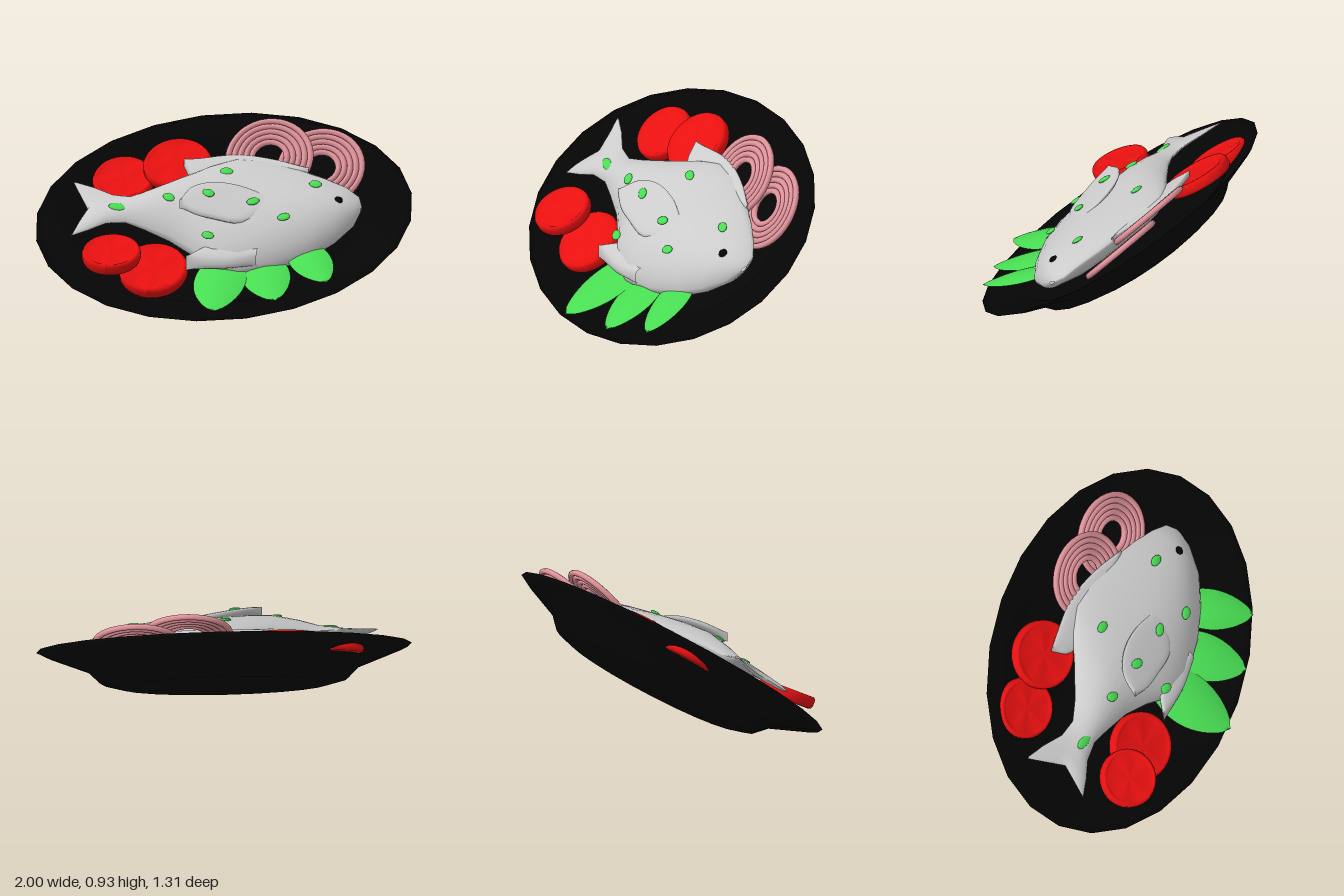
import * as THREE from 'three';
import { ParametricGeometry } from 'three/addons/geometries/ParametricGeometry.js';

const V = (x, y, z) => new THREE.Vector3(x, y, z);
const mat = (color) => new THREE.MeshStandardMaterial({ color, side: THREE.DoubleSide });
const BLACK = mat(0x050505), GREY = mat(0xcccccc), RED = mat(0xe81010);
const PINK = mat(0xe0929a), GREEN = mat(0x48dc52);

// The plate's rim lies in this tilted plane; food is placed by (x, z) and height above it.
const rimY = (x, z) => 0.46 - 0.075 * x - 0.72 * z;
const NORMAL = V(0.075, 1, 0.72).normalize();
const onPlate = (x, z, h) => V(x, rimY(x, z) + h, z);

function add(group, name, geometry, material) {
  const mesh = new THREE.Mesh(geometry, material);
  mesh.name = name;
  group.add(mesh);
  return mesh;
}

// Pillow-shaped fin between a back and a front edge of [x, z] points that meet at the tip
function fin(back, front, height, thickness) {
  const curve = (pts) => new THREE.CatmullRomCurve3(pts.map(([x, z]) => V(x, 0, z)));
  const a = curve(back), b = curve(front);
  return new ParametricGeometry((s, t, out) => {
    const angle = -2 * Math.PI * t, rise = Math.sin(angle);
    const p = a.getPoint(s).lerp(b.getPoint(s), (1 - Math.cos(angle)) / 2);
    const h = height(p.x) + thickness * Math.sign(rise) * Math.sqrt(Math.abs(rise));
    out.copy(onPlate(p.x, p.z, h));
  }, 16, 20);
}

// Fish body and forked tail lofted through cross-sections:
// [x, back z, belly z, edge height, hump, depth below, fork, skew of the fork]
function fishBody() {
  const stations = [
    [0.725, -0.14, -0.11, 0.02, 0.005, 0.01],
    [0.70, -0.19, -0.03, 0.02, 0.05, 0.05],
    [0.62, -0.225, 0.085, 0.03, 0.095, 0.09],
    [0.50, -0.26, 0.18, 0.03, 0.125, 0.13],
    [0.35, -0.29, 0.265, 0.035, 0.145, 0.15],
    [0.15, -0.315, 0.335, 0.04, 0.15, 0.16],
    [0.0, -0.30, 0.33, 0.045, 0.15, 0.16],
    [-0.12, -0.225, 0.265, 0.055, 0.145, 0.14],
    [-0.25, -0.12, 0.22, 0.07, 0.13, 0.11],
    [-0.40, -0.01, 0.20, 0.09, 0.08, 0.07],
    [-0.50, 0.045, 0.19, 0.095, 0.045, 0.04],
    [-0.60, 0.045, 0.215, 0.095, 0.035, 0.025, 0.01],
    [-0.70, 0.005, 0.265, 0.09, 0.028, 0.02, 0.05, 0.015],
    [-0.79, -0.02, 0.30, 0.085, 0.022, 0.02, 0.085, 0.03],
    [-0.80, -0.015, 0.305, 0.085, 0, 0, 0.09, 0.03],
  ];
  const N = 24, pos = [], idx = [];
  for (const [x, z0, z1, edge, hump, depth, fork = 0, skew = 0] of stations) {
    for (let j = 0; j < N; j++) {
      const a = (j / N) * Math.PI * 2, c = Math.cos(a), s = Math.sin(a);
      const h = edge + (s > 0 ? hump * s * (1 + 0.5 * c) : depth * s);
      const px = x + skew * c + fork * (1 - Math.abs(c));
      pos.push(...onPlate(px, (z0 + z1) / 2 + (z1 - z0) / 2 * c, h).toArray());
    }
  }
  for (let i = 0; i < stations.length - 1; i++) {
    for (let j = 0; j < N; j++) {
      const k = (j + 1) % N, a = i * N, b = a + N;
      idx.push(a + j, a + k, b + j, a + k, b + k, b + j);
    }
  }
  const g = new THREE.BufferGeometry();
  g.setAttribute('position', new THREE.Float32BufferAttribute(pos, 3));
  g.setIndex(idx);
  g.computeVertexNormals();
  return g;
}

// Round slice with a raised skin and a gently uneven cut face
function tomatoSlice(r) {
  const profile = [[0, -0.03], [0.85, -0.033], [0.96, -0.028], [1, -0.012], [1, 0.018],
    [0.95, 0.034], [0.87, 0.032], [0.78, 0.023], [0.4, 0.025], [0, 0.026]];
  const g = new THREE.LatheGeometry(profile.map(([x, y]) => new THREE.Vector2(x * r, y)), 30);
  const p = g.attributes.position;
  for (let i = 0; i < p.count; i++) {
    const a = Math.atan2(p.getZ(i), p.getX(i)), d = Math.hypot(p.getX(i), p.getZ(i)) / r;
    if (p.getY(i) > 0.02 && d < 0.8) p.setY(i, p.getY(i) + 0.005 * d * Math.sin(5 * a));
  }
  g.computeVertexNormals();
  return g;
}

// Pointed leaf, folded slightly along its midrib
function leaf(base, tip, halfWidth) {
  const dir = tip.clone().sub(base);
  const side = V(0, 1, 0.55).cross(dir).normalize();
  const up = dir.clone().cross(side).normalize();
  return new ParametricGeometry((s, t, out) => {
    const k = t * 2 - 1;
    const w = halfWidth * Math.pow(Math.max(0, Math.sin(Math.PI * (0.16 + 0.84 * s))), 0.65);
    out.copy(base).addScaledVector(dir, s).addScaledVector(side, k * w)
      .addScaledVector(up, 0.02 * Math.sin(Math.PI * s) * (1 - 1.3 * k * k));
  }, 16, 8);
}

export function createModel() {
  const model = new THREE.Group();
  model.name = 'fishPlatter';

  // Oval plate: a lathe stretched and tilted
  const profile = [[0, -0.215], [0.56, -0.205], [0.66, -0.178], [0.73, -0.11], [0.96, -0.02],
    [1, 0], [0.96, -0.008], [0.73, -0.075], [0.65, -0.13], [0, -0.15]];
  const plate = new THREE.LatheGeometry(profile.map(([r, y]) => new THREE.Vector2(r, y)), 24);
  plate.applyMatrix4(new THREE.Matrix4()
    .makeBasis(V(1, 0, -0.12), NORMAL, V(0, -0.465, 0.646)).setPosition(0, 0.465, 0));
  plate.computeVertexNormals();
  add(model, 'plate', plate, BLACK);

  // Fish
  const fish = new THREE.Group();
  fish.name = 'fish';
  model.add(fish);
  add(fish, 'body', fishBody(), GREY);
  add(fish, 'dorsalFin', fin(
    [[-0.28, -0.25], [-0.2, -0.275], [0, -0.325], [0.2, -0.32], [0.4, -0.28]],
    [[-0.28, -0.25], [-0.21, -0.17], [0, -0.18], [0.2, -0.22], [0.4, -0.27]], () => 0.045, 0.03), GREY);
  add(fish, 'pelvicFin', fin(
    [[-0.12, 0.375], [-0.05, 0.3], [0.05, 0.25], [0.25, 0.27]],
    [[-0.12, 0.375], [-0.02, 0.37], [0.1, 0.355], [0.25, 0.31]], () => 0.07, 0.04), GREY);
  add(fish, 'pectoralFin', fin(
    [[-0.19, 0.235], [-0.15, 0.13], [-0.05, 0.06], [0.1, 0.03], [0.28, 0.05]],
    [[-0.19, 0.235], [-0.1, 0.255], [0, 0.25], [0.15, 0.225], [0.28, 0.1]],
    (x) => 0.222 - 0.2 * x, 0.025), GREY);

  // Small flat ovals lying on the fish
  const dot = (group, name, [x, z, h], [a, b, c], turn, material) => {
    const g = new THREE.SphereGeometry(1, 12, 8).scale(a, b, c).rotateY(turn);
    const m = add(group, name, g, material);
    m.position.copy(onPlate(x, z, h));
    m.quaternion.setFromUnitVectors(V(0, 1, 0), NORMAL);
  };
  dot(fish, 'eye', [0.615, -0.05, 0.115], [0.026, 0.022, 0.03], 0, BLACK);
  const herbs = [[-0.55, 0.155, 0.135, -0.1], [-0.27, 0.145, 0.21, -0.6], [-0.05, 0.15, 0.262, -0.5],
    [-0.015, 0.315, 0.18, -0.3], [0.19, 0.13, 0.225, 0.5], [0.37, 0.175, 0.2, 0.5],
    [0.48, -0.1, 0.15, -0.1], [-0.01, -0.105, 0.16, -0.1]];
  herbs.forEach(([x, z, h, turn], i) => {
    dot(model, 'herb', [x, z, h], [i ? 0.036 : 0.05, 0.01, 0.026], turn, GREEN);
  });

  // Tomato slices: position, radius, facing
  const tomatoes = [
    [[-0.6, 0.605, -0.2], 0.165, NORMAL],
    [[-0.32, 0.685, -0.28], 0.185, NORMAL],
    [[-0.52, 0.305, 0.42], 0.158, V(0.05, 0.9, 0.42).normalize()],
    [[-0.305, 0.215, 0.35], 0.185, NORMAL],
  ];
  for (const [p, r, n] of tomatoes) {
    const m = add(model, 'tomatoSlice', tomatoSlice(r), RED);
    m.position.set(...p);
    m.quaternion.setFromUnitVectors(V(0, 1, 0), n);
  }

  // Onion slices made of concentric rings
  for (const p of [[0.17, 0.74, -0.335], [0.445, 0.69, -0.37]]) {
    const onion = new THREE.Group();
    onion.name = 'onionSlice';
    for (let i = 0; i < 5; i++) {
      add(onion, 'onionRing', new THREE.TorusGeometry(0.095 + i * 0.032, 0.0165, 8, 40), PINK);
    }
    onion.position.set(...p);
    onion.quaternion.setFromUnitVectors(V(0, 0, 1), V(0.05, 0.616, 0.786).normalize());
    model.add(onion);
  }

  // Leaves
  add(model, 'leaf', leaf(V(0.05, 0.27, 0.22), V(0.1, 0.06, 0.655), 0.142), GREEN);
  add(model, 'leaf', leaf(V(0.23, 0.285, 0.17), V(0.41, 0.112, 0.54), 0.13), GREEN);
  add(model, 'leaf', leaf(V(0.43, 0.345, 0.08), V(0.66, 0.2, 0.41), 0.11), GREEN);

  return model;
}
